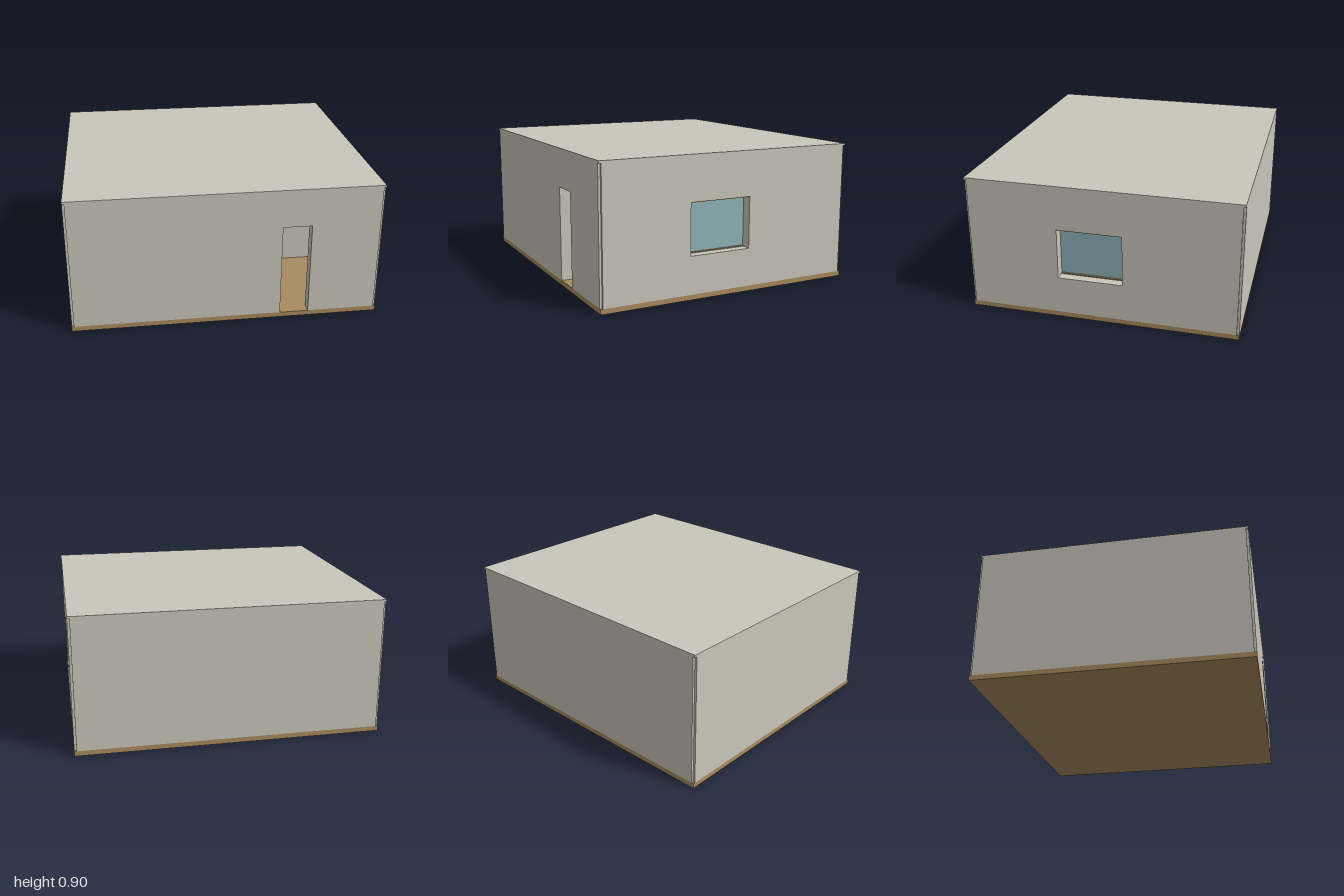
import * as THREE from 'three';

const mat = (name, color) => {
  const m = new THREE.MeshStandardMaterial({ color });
  m.name = name;
  return m;
};

export function createModel() {
  const plaster = mat('plaster', 0xc9c6ba);
  const wood = mat('wood', 0xa98b5f);
  const glass = mat('blue glass', 0x8fb4ba);
  const house = new THREE.Group();
  house.name = 'house';

  // Box given by its lower and upper limits on each axis
  const box = (name, material, x0, x1, y0, y1, z0, z1, parent = house) => {
    const mesh = new THREE.Mesh(new THREE.BoxGeometry(x1 - x0, y1 - y0, z1 - z0), material);
    mesh.position.set((x0 + x1) / 2, (y0 + y1) / 2, (z0 + z1) / 2);
    mesh.name = name;
    parent.add(mesh);
    return mesh;
  };

  // Floor slab and flat roof
  box('floor', wood, -1, 1, 0, 0.033, -0.88, 0.88);
  box('roof', plaster, -1, 1, 0.89, 0.905, -0.88, 0.88);

  const y0 = 0.033, y1 = 0.89, t = 0.075;

  // Closed walls; the corners leave a small recess between neighbours
  box('backWall', plaster, -0.985, 0.985, y0, y1, -0.88, -0.88 + t);
  box('leftSideWall', plaster, -1, -1 + t, y0, y1, -0.865, 0.865);

  // Front wall around the doorway
  box('frontWallWide', plaster, -0.985, 0.353, y0, y1, 0.88 - t, 0.88);
  box('frontWallNarrow', plaster, 0.54, 0.985, y0, y1, 0.88 - t, 0.88);
  box('doorLintel', plaster, 0.353, 0.54, 0.652, y1, 0.88 - t, 0.88);

  // Window wall
  box('windowWallFront', plaster, 1 - t, 1, y0, y1, 0.282, 0.865);
  box('windowWallBack', plaster, 1 - t, 1, y0, y1, -0.865, -0.138);
  box('windowLintel', plaster, 1 - t, 1, 0.617, y1, -0.138, 0.282);
  box('windowBreast', plaster, 1 - t, 1, y0, 0.279, -0.138, 0.282);
  box('windowHead', wood, 1 - t, 0.995, 0.61, 0.617, -0.138, 0.282);
  box('windowSill', wood, 1 - t, 0.94, 0.279, 0.286, -0.138, 0.282);
  box('windowPane', glass, 0.921, 0.93, 0.286, 0.61, -0.138, 0.282);

  // Inner partition with a wood-framed doorway
  const partition = new THREE.Group();
  partition.name = 'partition';
  house.add(partition);
  box('partitionEast', plaster, 0.42, 0.925, y0, y1, 0.1, 0.15, partition);
  box('partitionWest', plaster, -0.925, 0.205, y0, y1, 0.1, 0.15, partition);
  box('partitionLintel', plaster, 0.205, 0.42, 0.652, y1, 0.1, 0.15, partition);
  box('frameHead', wood, 0.205, 0.42, 0.637, 0.652, 0.095, 0.155, partition);
  for (const x of [0.205, 0.405]) box('frameJamb', wood, x, x + 0.015, y0, 0.637, 0.095, 0.155, partition);

  // Shelving and bench against the back wall
  const shelf = new THREE.Group();
  shelf.name = 'shelving';
  house.add(shelf);
  box('shelfBoard', wood, 0, 0.7, 0.505, 0.52, -0.805, -0.65, shelf);
  box('benchTop', wood, 0, 0.7, 0.3, 0.33, -0.805, -0.55, shelf);
  box('benchRail', wood, 0, 0.7, 0.255, 0.27, -0.805, -0.56, shelf);
  box('benchFront', plaster, 0, 0.7, y0, 0.3, -0.805, -0.57, shelf);
  box('benchPanel', glass, 0.02, 0.68, 0.05, 0.235, -0.57, -0.562, shelf);

  // Chair in front of the bench
  const chair = new THREE.Group();
  chair.name = 'chair';
  house.add(chair);
  box('seat', wood, 0.3, 0.4, 0.11, 0.125, -0.4, -0.28, chair);
  box('backrest', glass, 0.36, 0.4, 0.13, 0.19, -0.4, -0.385, chair);
  for (const x of [0.3, 0.385]) for (const z of [-0.4, -0.295])
    box('chairLeg', wood, x, x + 0.015, y0, 0.11, z, z + 0.015, chair);

  // Counter with a glazed screen beside the entrance
  const counter = new THREE.Group();
  counter.name = 'counter';
  house.add(counter);
  box('counterBody', plaster, -0.1, 0.08, y0, 0.25, 0.15, 0.6, counter);
  box('counterTop', wood, -0.11, 0.09, 0.25, 0.27, 0.15, 0.61, counter);
  box('screenPane', glass, 0.0, 0.009, 0.32, 0.6, 0.17, 0.55, counter);
  for (const z of [0.155, 0.55]) box('screenPost', wood, -0.003, 0.012, 0.27, 0.62, z, z + 0.015, counter);
  box('screenRail', wood, -0.003, 0.012, 0.6, 0.62, 0.17, 0.55, counter);

  return house;
}
